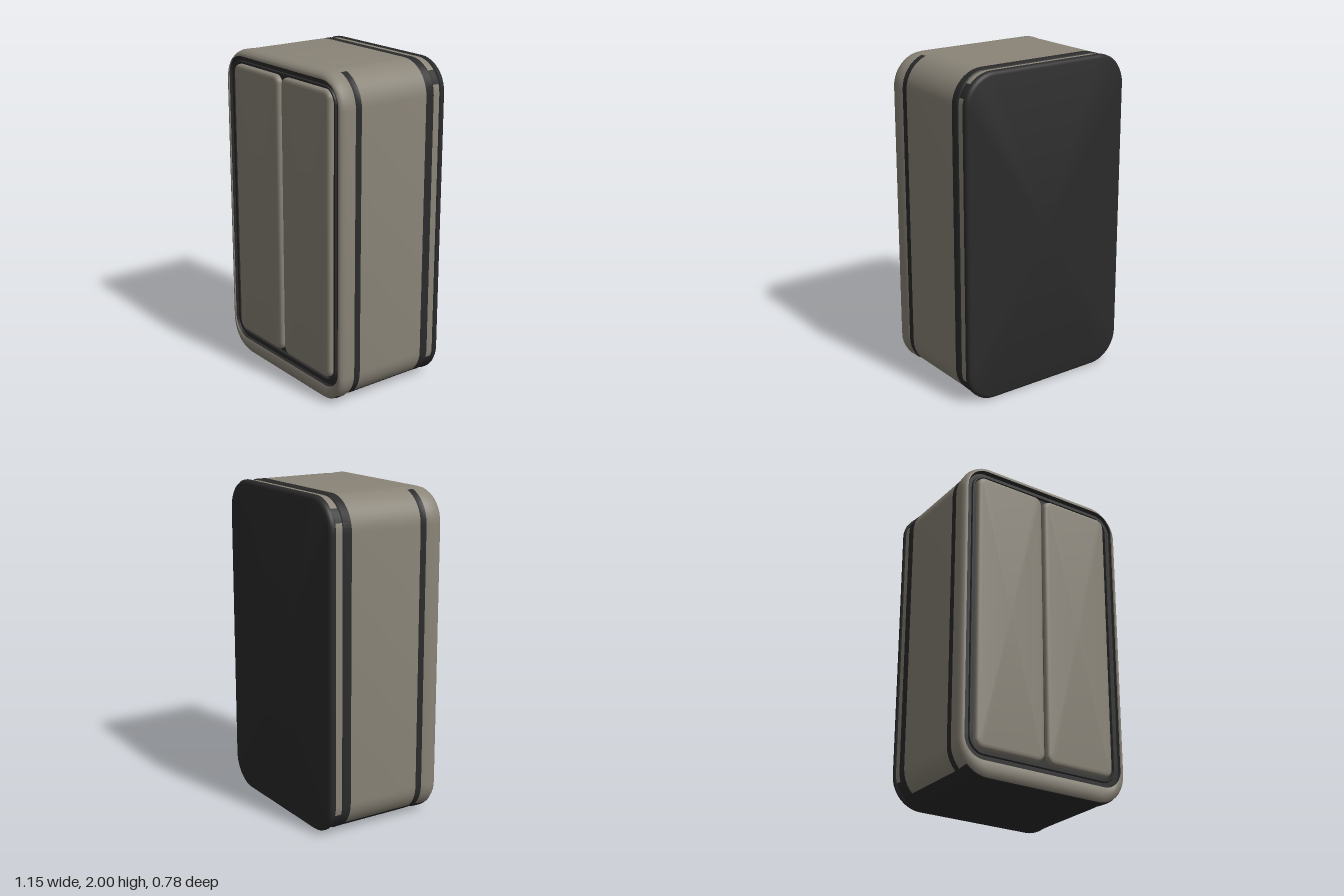
import * as THREE from 'three';
import { toCreasedNormals } from 'three/addons/utils/BufferGeometryUtils.js';

const taupe = new THREE.MeshStandardMaterial({ color: 0x8a8478 });
taupe.name = 'taupe';
const charcoal = new THREE.MeshStandardMaterial({ color: 0x2b2b2b });
charcoal.name = 'charcoal';

// Rounded-rectangle loop, counter-clockwise seen from the front
function loop([hw, y0, y1, r, z]) {
  const pts = [], n = 10;
  const corners = [[hw - r, y1 - r], [-hw + r, y1 - r], [-hw + r, y0 + r], [hw - r, y0 + r]];
  corners.forEach(([cx, cy], c) => {
    for (let i = 0; i <= n; i++) {
      const a = (c + i / n) * Math.PI / 2;
      pts.push(new THREE.Vector3(cx + r * Math.cos(a), cy + r * Math.sin(a), z));
    }
  });
  return pts;
}

// Skin a stack of loops [halfWidth, bottom, top, radius, z] from back to front.
// isDark(normal) chooses the charcoal faces.
function loft(name, rows, isDark) {
  const loops = rows.map(loop), pos = [], tri = new THREE.Triangle(), normal = new THREE.Vector3();
  const faces = [[], []];
  const add = (a, b, c) => {
    tri.set(a, b, c);
    if (tri.getArea() < 1e-9) return;
    tri.getNormal(normal);
    const id = pos.length / 3;
    [a, b, c].forEach(p => pos.push(p.x, p.y, p.z));
    faces[isDark(normal) ? 1 : 0].push(id, id + 1, id + 2);
  };
  for (let i = 0; i + 1 < loops.length; i++) {
    const A = loops[i], B = loops[i + 1];
    for (let j = 0; j < A.length; j++) {
      const k = (j + 1) % A.length;
      add(A[j], A[k], B[k]);
      add(A[j], B[k], B[j]);
    }
  }
  let geo = new THREE.BufferGeometry();
  geo.setAttribute('position', new THREE.Float32BufferAttribute(pos, 3));
  geo = toCreasedNormals(geo, 0.7);
  geo.setIndex([...faces[0], ...faces[1]]);
  geo.addGroup(0, faces[0].length, 0);
  geo.addGroup(faces[0].length, faces[1].length, 1);
  const mesh = new THREE.Mesh(geo, [taupe, charcoal]);
  mesh.name = name;
  return mesh;
}

const point = (y, z) => [0, y, y, 0, z];
const dark = () => true;
const light = () => false;
const darkUnderside = n => n.y < -0.7;

export function createModel() {
  const model = new THREE.Group();
  model.name = 'cabinet';

  // Rear panel with softly rounded edge
  model.add(loft('backPanel', [
    point(1, -0.388),
    [0.548, 0.024, 1.976, 0.17, -0.388],
    [0.563, 0.009, 1.991, 0.185, -0.383],
    [0.571, 0.001, 1.999, 0.19, -0.37],
    [0.571, 0, 2, 0.19, -0.353],
    [0.564, 0.007, 1.993, 0.19, -0.345],
  ], dark));

  // Shallow strip set between the rear bands
  model.add(loft('rearStrip', [
    [0.564, 0.007, 1.993, 0.19, -0.345],
    [0.564, 0.007, 1.993, 0.19, -0.302],
  ], n => !(n.y > 0.7 || Math.abs(n.x) > 0.97)));

  model.add(loft('rearBand', [
    [0.564, 0.007, 1.993, 0.19, -0.302],
    [0.569, 0.001, 1.999, 0.195, -0.295],
    [0.567, 0, 2, 0.2, -0.243],
  ], dark));

  // Main shell
  model.add(loft('body', [
    [0.567, 0, 2, 0.2, -0.243],
    [0.567, 0, 2, 0.2, 0.23],
  ], darkUnderside));

  // Seam behind the front rim, plain across the top
  model.add(loft('frontSeam', [
    [0.567, 0, 2, 0.2, 0.23],
    [0.564, 0.002, 1.998, 0.2, 0.25],
    [0.567, 0, 2, 0.2, 0.272],
  ], n => n.y < 0.95));

  // Rounded front rim
  model.add(loft('frontRim', [
    [0.567, 0, 2, 0.2, 0.272],
    [0.574, 0, 2, 0.2, 0.295],
    [0.576, 0.002, 1.999, 0.195, 0.335],
    [0.572, 0.008, 1.992, 0.19, 0.358],
    [0.564, 0.024, 1.98, 0.18, 0.373],
    [0.555, 0.05, 1.968, 0.17, 0.38],
    [0.547, 0.085, 1.958, 0.14, 0.38],
    [0.543, 0.1, 1.953, 0.125, 0.374],
  ], darkUnderside));

  // Dark recessed frame with a low gasket lip
  model.add(loft('doorFrame', [
    [0.543, 0.1, 1.953, 0.125, 0.374],
    [0.535, 0.108, 1.945, 0.118, 0.36],
    [0.513, 0.13, 1.928, 0.1, 0.36],
    [0.508, 0.135, 1.924, 0.096, 0.37],
    [0.498, 0.144, 1.918, 0.09, 0.37],
    [0.492, 0.15, 1.913, 0.085, 0.355],
    point(1, 0.355),
  ], dark));

  // Pair of doors
  for (const side of [-1, 1]) {
    const door = loft(side > 0 ? 'leftDoor' : 'rightDoor', [
      [0.233, 0.163, 1.906, 0.05, 0.35],
      [0.233, 0.163, 1.906, 0.05, 0.37],
      [0.229, 0.167, 1.902, 0.047, 0.38],
      [0.22, 0.176, 1.893, 0.04, 0.386],
      [0.205, 0.191, 1.878, 0.03, 0.388],
      point(1.03, 0.388),
    ], light);
    door.position.x = side * 0.243;
    model.add(door);
  }
  return model;
}
